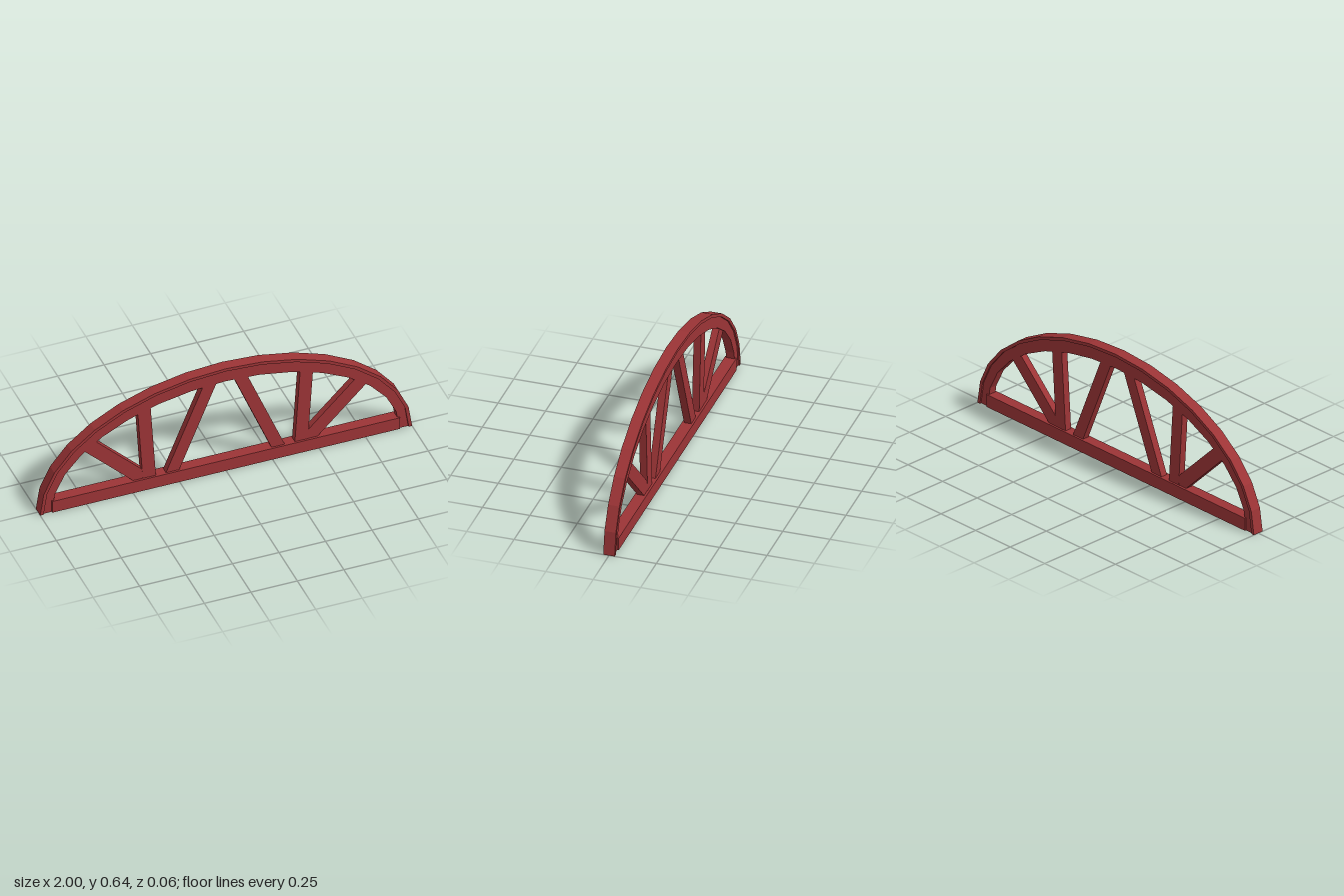
import * as THREE from 'three';

const SEGMENTS = 16;

// Half-ellipse band, extruded and centred on z = 0
function archBand(outerX, outerY, innerX, innerY, depth) {
  const outer = [], inner = [];
  for (let i = 0; i <= SEGMENTS; i++) {
    const a = (i / SEGMENTS) * Math.PI;
    outer.push(new THREE.Vector2(Math.cos(a) * outerX, Math.sin(a) * outerY));
    inner.push(new THREE.Vector2(Math.cos(a) * innerX, Math.sin(a) * innerY));
  }
  const shape = new THREE.Shape([...outer, ...inner.reverse()]);
  const geometry = new THREE.ExtrudeGeometry(shape, { depth, bevelEnabled: false });
  return geometry.translate(0, 0, -depth / 2);
}

export function createModel() {
  const model = new THREE.Group();
  model.name = 'archedTruss';
  const red = new THREE.MeshStandardMaterial({ color: 0x9c3436 });
  red.name = 'barnRed';

  const add = (name, geometry) => {
    const mesh = new THREE.Mesh(geometry, red);
    mesh.name = name;
    model.add(mesh);
    return mesh;
  };

  // Arch: a thin full-depth rim around a recessed band
  add('archRim', archBand(1, 0.645, 0.982, 0.628, 0.06));
  add('archBand', archBand(0.985, 0.631, 0.935, 0.56, 0.044));

  // Bottom chord between the feet of the arch
  add('bottomChord', new THREE.BoxGeometry(1.87, 0.07, 0.06)).position.y = 0.035;

  // Braces from chord to arch: name, bottom x, y, top x, y, width, depth
  const braces = [
    ['outerBrace', 0.415, 0.042, 0.74, 0.363, 0.075, 0.036],
    ['middleBrace', 0.407, 0.04, 0.438, 0.52, 0.07, 0.038],
    ['innerBrace', 0.296, 0.04, 0.076, 0.577, 0.066, 0.038],
  ];
  for (const side of [1, -1]) {
    for (const [name, x0, y0, x1, y1, width, depth] of braces) {
      const dx = side * (x1 - x0), dy = y1 - y0;
      const brace = add((side > 0 ? 'left ' : 'right ') + name,
        new THREE.BoxGeometry(width, Math.hypot(dx, dy), depth));
      brace.position.set(side * (x0 + x1) / 2, (y0 + y1) / 2, 0);
      brace.rotation.z = -Math.atan2(dx, dy);
    }
  }
  return model;
}
